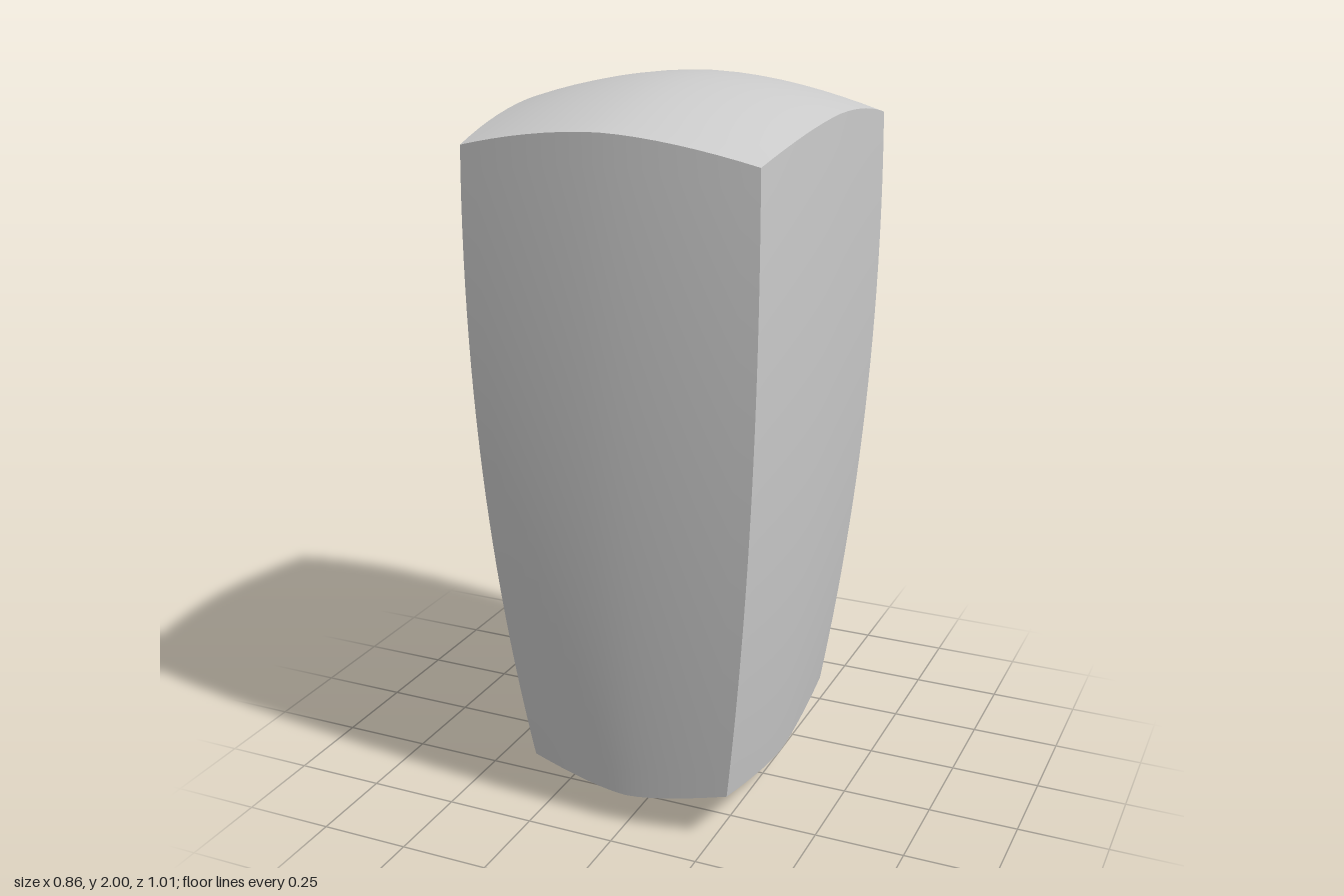
import * as THREE from 'three';

// Tapered block with six pillowed faces and crisp edges
function pillowPoint(u, w, v) {
  const t = (w + 1) / 2;
  const a = Math.abs(u), b = Math.abs(v);
  // crowned top and bottom
  const top = 2 - 0.08 * (a ** 1.8 + b ** 1.8) + 0.02 * a * a * b * b;
  const bottom = 0.09 * (a ** 1.6 + b ** 1.6) - 0.04 * a * a * b * b;
  // half width and half depth: tapered to the foot and bulging outward
  const halfX = 0.305 + 0.27 * t - 0.148 * t * t;
  const halfZ = 0.405 + 0.242 * t - 0.144 * t * t;
  return [
    u * halfX * (1 - (0.05 + 0.02 * t) * b ** 1.8),
    bottom + (top - bottom) * t,
    v * halfZ * (1 - 0.065 * a ** 1.8),
  ];
}

export function createModel() {
  const group = new THREE.Group();
  group.name = 'pillowedBlock';

  // Each box face has its own vertices, so edges stay sharp and faces smooth
  const geometry = new THREE.BoxGeometry(2, 2, 2, 16, 24, 16);
  const p = geometry.attributes.position;
  for (let i = 0; i < p.count; i++) {
    p.setXYZ(i, ...pillowPoint(p.getX(i), p.getY(i), p.getZ(i)));
  }
  geometry.computeVertexNormals();

  const body = new THREE.Mesh(geometry, new THREE.MeshStandardMaterial({ color: 0xcccccc }));
  body.name = 'body';
  group.add(body);
  return group;
}
